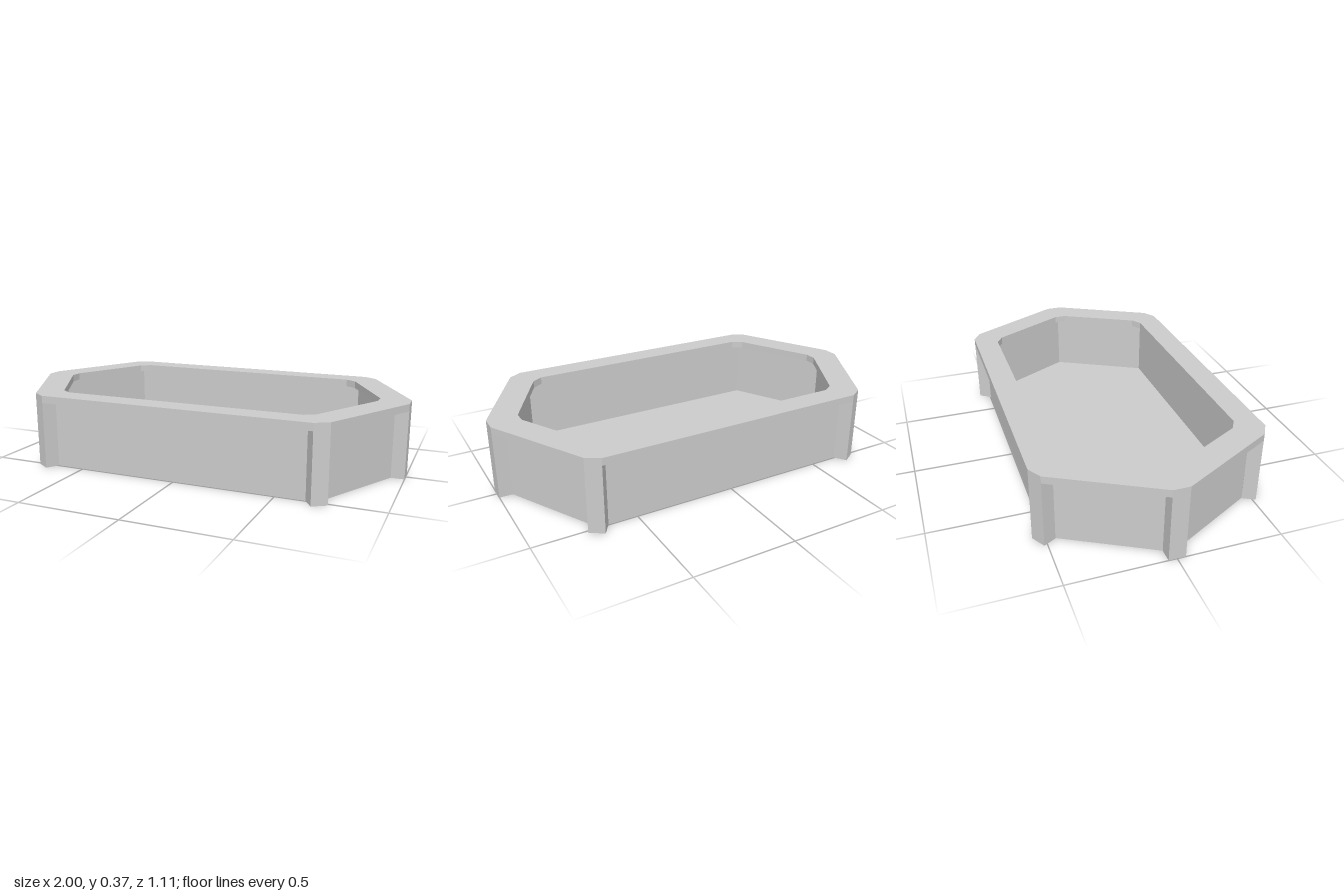
import * as THREE from 'three';

const HEIGHT = 0.369, RIM_BOTTOM = 0.333, FLOOR = 0.03;
const WALL_OUT = 0.057, WALL_IN = 0.097; // insets from the rim's outer edge

// Full outline mirrored in x and z from points of the +x +z quarter (tip first)
function mirrored(quarter) {
  const back = [...quarter].reverse();
  return [
    ...quarter,
    ...back.map(([x, z]) => [-x, z]),
    ...quarter.map(([x, z]) => [-x, -z]),
    ...back.map(([x, z]) => [x, -z]),
  ];
}

// Sharp hexagon, inset by d
function hexagon(d) {
  const tip = 1.0215 - d / 0.881, x = 0.7235 - 0.598 * d, z = 0.555 - d;
  return [[tip, 0], [x, z], [-x, z], [-tip, 0], [-x, -z], [x, -z]];
}

// Reversed so that outlines and holes wind counter-clockwise after the z flip
const toPoints = (outline) => outline.map(([x, z]) => new THREE.Vector2(x, -z)).reverse();

export function createModel() {
  const model = new THREE.Group();
  model.name = 'planterTray';
  const material = new THREE.MeshStandardMaterial({ color: 0xcccccc, flatShading: true });

  // Upright prism between two heights, optionally hollow
  function prism(name, outline, y0, y1, hole) {
    const shape = new THREE.Shape(toPoints(outline));
    if (hole) shape.holes.push(new THREE.Path(toPoints(hole)));
    const geometry = new THREE.ExtrudeGeometry(shape, { depth: y1 - y0, bevelEnabled: false });
    geometry.rotateX(-Math.PI / 2).translate(0, y0, 0);
    const mesh = new THREE.Mesh(geometry, material);
    mesh.name = name;
    model.add(mesh);
  }

  // Floor and hollow wall
  prism('floor', hexagon(WALL_OUT), 0, FLOOR);
  prism('wall', hexagon(WALL_OUT), FLOOR, RIM_BOTTOM, hexagon(WALL_IN));

  // Overhanging rim with cut corners
  const rimOuter = mirrored([[1, 0.04], [0.745, 0.515], [0.68, 0.555]]);
  const rimInner = mirrored([[0.853, 0.03], [0.655, 0.402], [0.603, 0.435]]);
  prism('rim', rimOuter, RIM_BOTTOM, HEIGHT, rimInner);

  // Posts at the two tips and the four side corners
  const tipPost = [[1, 0.04], [0.935, 0.04], [0.935, -0.04], [1, -0.04]];
  const cornerPost = [[0.745, 0.515], [0.68, 0.555], [0.642, 0.498], [0.713, 0.457]];
  for (const sx of [1, -1]) {
    const side = sx > 0 ? 'left' : 'right';
    prism(`${side}TipPost`, tipPost.map(([x, z]) => [sx * x, z]), 0, RIM_BOTTOM);
    for (const sz of [1, -1]) {
      const end = sz > 0 ? 'Front' : 'Back';
      prism(`${side}${end}Post`, cornerPost.map(([x, z]) => [sx * x, sz * z]), 0, RIM_BOTTOM);
    }
  }
  return model;
}
